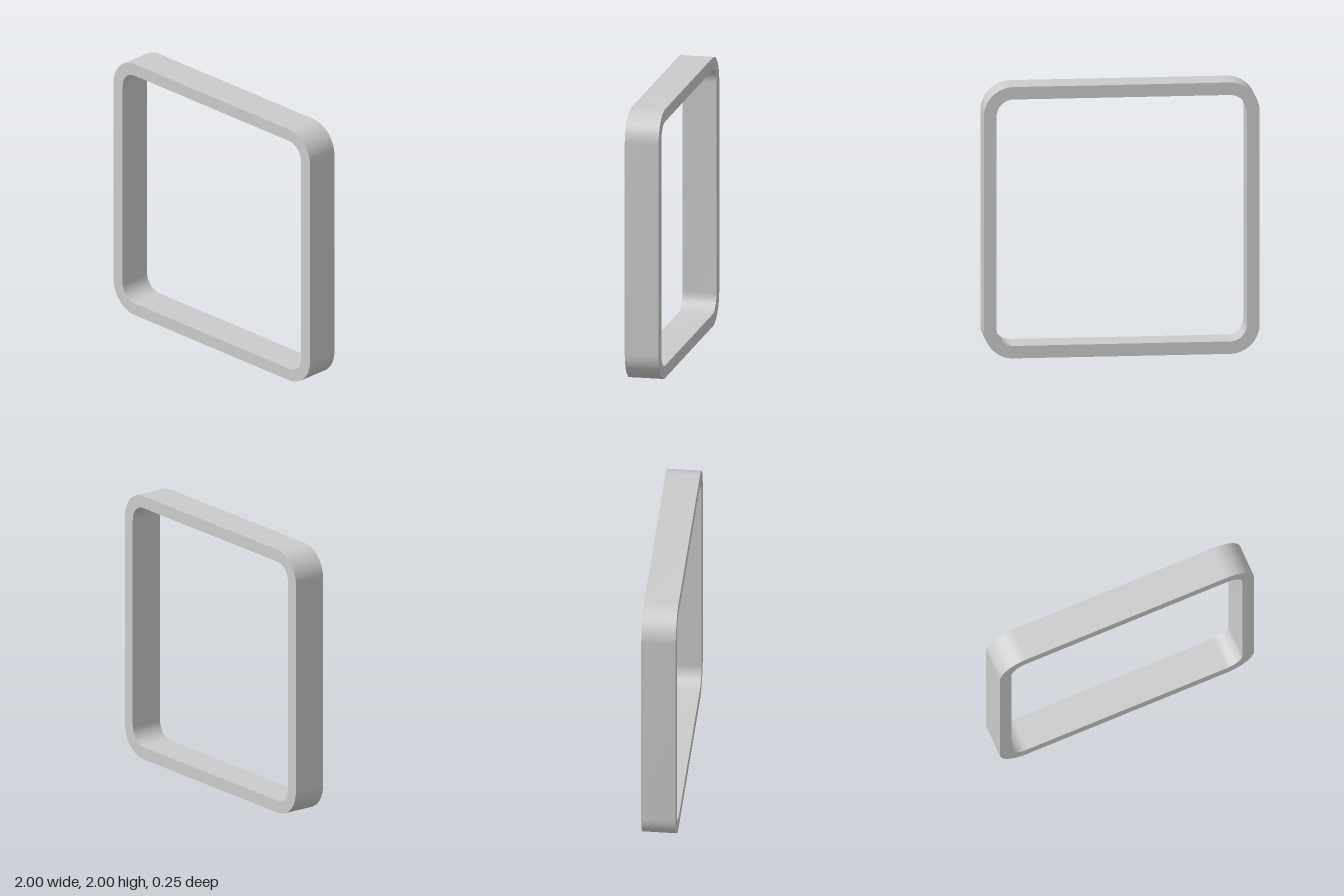
import * as THREE from 'three';
import { toCreasedNormals } from 'three/addons/utils/BufferGeometryUtils.js';

const HALF = 1, WALL = 0.092, RADIUS = 0.215, DEPTH = 0.25;

// Trace a centred square with rounded corners, counter-clockwise
function roundedSquare(path, h, r) {
  const c = h - r;
  const corners = [[c, -c], [c, c], [-c, c], [-c, -c]];
  path.moveTo(-c, -h);
  corners.forEach(([x, y], i) => {
    const start = (i - 1) * Math.PI / 2;
    path.absarc(x, y, r, start, start + Math.PI / 2, false);
  });
  path.closePath();
  return path;
}

export function createModel() {
  const group = new THREE.Group();
  group.name = 'squareFrame';

  // Rounded square band with a concentric opening
  const shape = roundedSquare(new THREE.Shape(), HALF, RADIUS);
  shape.holes.push(roundedSquare(new THREE.Path(), HALF - WALL, RADIUS - WALL));
  const geometry = new THREE.ExtrudeGeometry(shape, { depth: DEPTH, bevelEnabled: false, curveSegments: 16 });
  geometry.translate(0, HALF, -DEPTH / 2);

  const frame = new THREE.Mesh(
    toCreasedNormals(geometry, Math.PI / 6),
    new THREE.MeshStandardMaterial({ color: 0xcccccc })
  );
  frame.name = 'frame';
  group.add(frame);
  return group;
}
